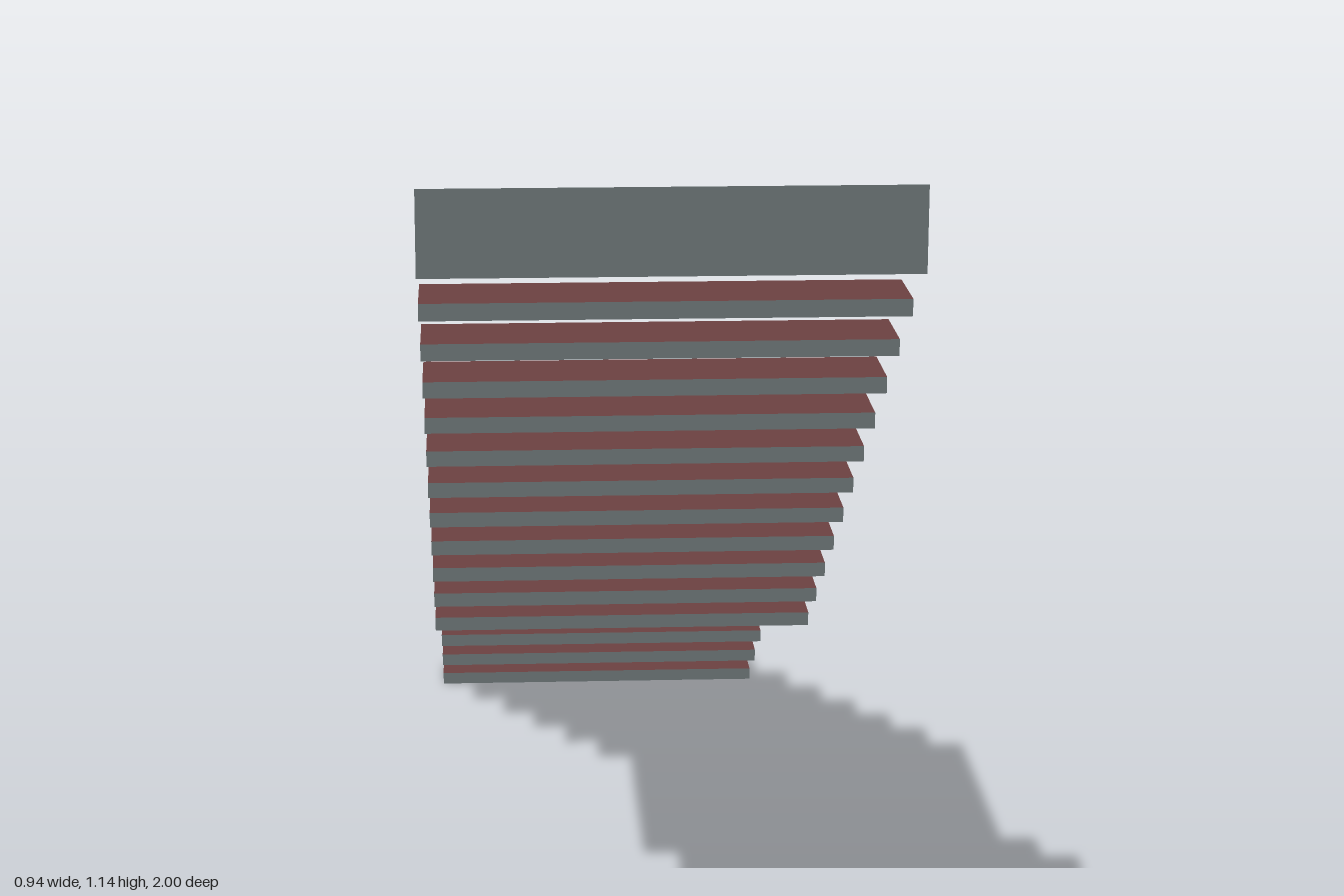
import * as THREE from 'three';

export function createModel() {
  const model = new THREE.Group();
  model.name = 'staircase';

  const grey = new THREE.MeshStandardMaterial({ color: 0x7f898b, side: THREE.DoubleSide });
  grey.name = 'grey slab';
  const brown = new THREE.MeshStandardMaterial({ color: 0x6e4242 });
  brown.name = 'red brown tread';

  const width = 0.485, run = 0.0907, rise = 0.0619, thick = 0.0175;
  const landingDepth = 0.398, lowerSteps = 6, upperSteps = 11;
  const length = (lowerSteps + upperSteps) * run + landingDepth;

  // the flight runs diagonally, climbing towards the front
  const flight = new THREE.Group();
  flight.name = 'flight';
  flight.rotation.y = -THREE.MathUtils.degToRad(14.1);
  model.add(flight);

  // floating slabs: grey with a brown top face
  const faces = [grey, grey, brown, grey, grey, grey];
  let z = -length / 2;
  const total = lowerSteps + 1 + upperSteps;
  for (let i = 0; i < total; i++) {
    const isLanding = i === lowerSteps;
    const depth = isLanding ? landingDepth : run;
    const slab = new THREE.Mesh(new THREE.BoxGeometry(width, thick, depth), faces);
    slab.name = isLanding ? 'landing' : `tread${i + 1}`;
    slab.position.set(0, i * rise + thick / 2, z + depth / 2);
    flight.add(slab);
    z += depth;
  }

  // thin riser plate closing the top step
  const plateHeight = 0.086;
  const riser = new THREE.Mesh(new THREE.PlaneGeometry(width, plateHeight), grey);
  riser.name = 'topRiser';
  riser.position.set(0, (total - 1) * rise + plateHeight / 2, z + 0.0005);
  flight.add(riser);

  return model;
}
